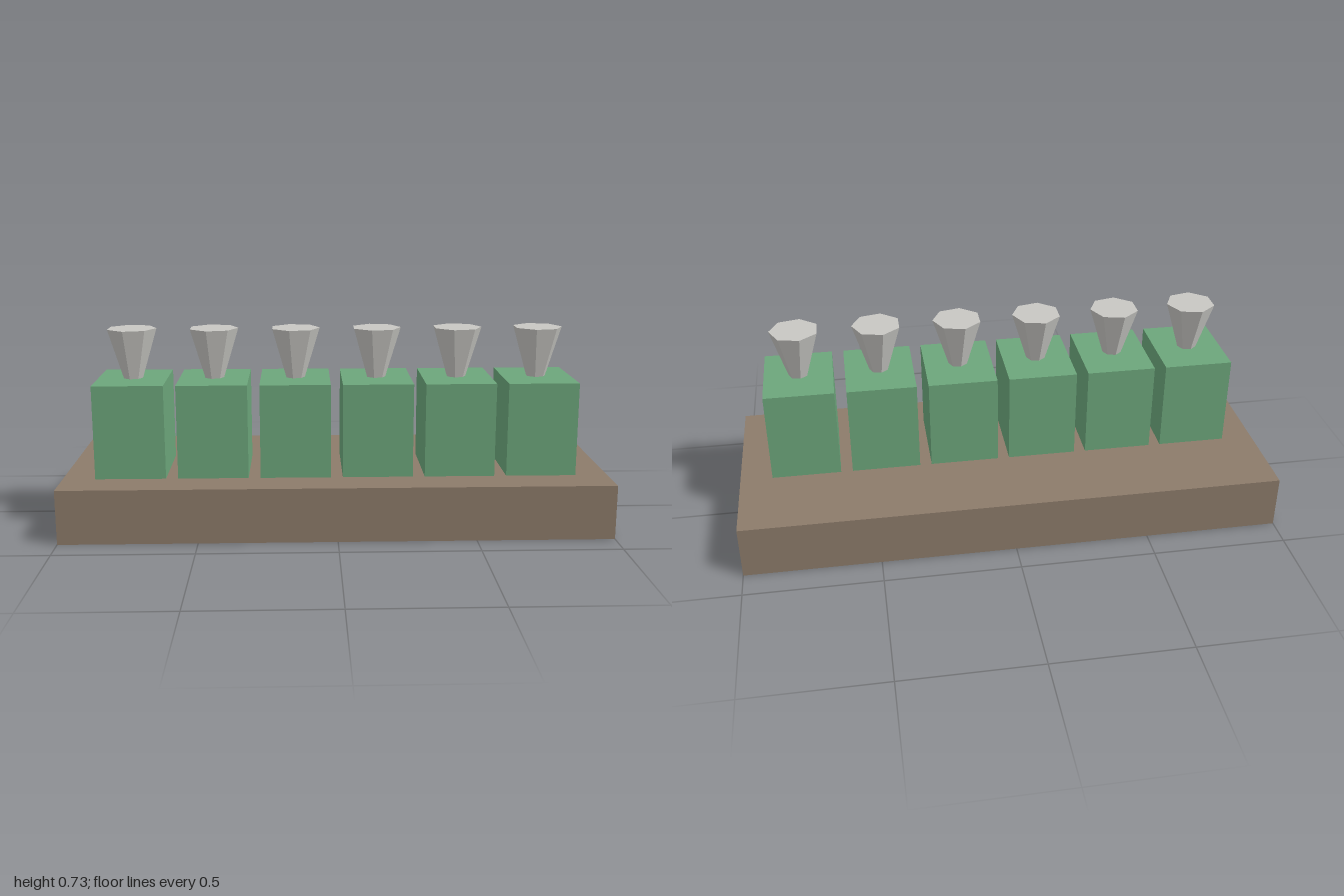
import * as THREE from 'three';

export function createModel() {
  const model = new THREE.Group();
  const wood = new THREE.MeshStandardMaterial({ color: 0x8c7b6a });
  wood.name = 'brown base';
  const green = new THREE.MeshStandardMaterial({ color: 0x6ca67b });
  green.name = 'green block';
  const metal = new THREE.MeshStandardMaterial({ color: 0xc8c7c3 });
  metal.name = 'light grey';
  metal.flatShading = true;

  function add(parent, name, geometry, material, x, y, z) {
    const mesh = new THREE.Mesh(geometry, material);
    mesh.name = name;
    mesh.position.set(x, y, z);
    parent.add(mesh);
  }

  // Base slab
  add(model, 'base', new THREE.BoxGeometry(2, 0.2, 0.785), wood, 0, 0.1, 0);

  // Row of six blocks, each with a flared seven-sided knob
  const blockGeometry = new THREE.BoxGeometry(0.257, 0.345, 0.328);
  const knobGeometry = new THREE.CylinderGeometry(0.092, 0.036, 0.185, 7, 1, false, Math.PI / 2);
  for (let i = 0; i < 6; i++) {
    const unit = new THREE.Group();
    unit.name = `unit${i + 1}`;
    unit.position.x = (i - 2.5) * 0.301;
    add(unit, 'block', blockGeometry, green, 0, 0.3725, 0.086);
    add(unit, 'knob', knobGeometry, metal, 0, 0.6375, 0.086);
    model.add(unit);
  }
  return model;
}
